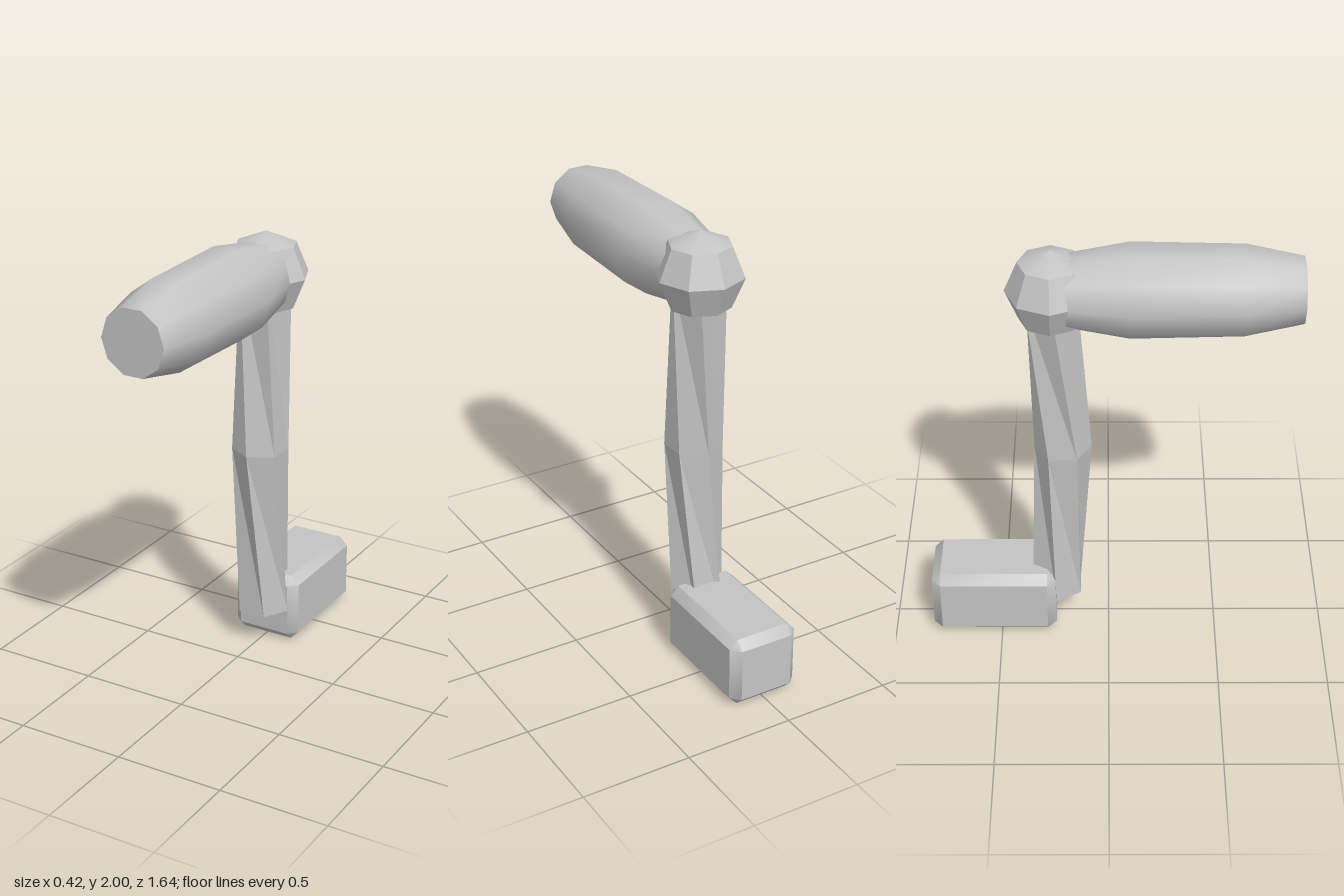
import * as THREE from 'three';
import { toCreasedNormals } from 'three/addons/utils/BufferGeometryUtils.js';
import { ConvexGeometry } from 'three/addons/geometries/ConvexGeometry.js';

const CREASE = 0.7;

// Box with its edges and corners cut off by c
function chamferBox(w, h, d, c) {
  const points = [];
  for (const sx of [-1, 1]) for (const sy of [-1, 1]) for (const sz of [-1, 1]) {
    const x = w / 2, y = h / 2, z = d / 2;
    points.push(
      new THREE.Vector3(sx * x, sy * (y - c), sz * (z - c)),
      new THREE.Vector3(sx * (x - c), sy * y, sz * (z - c)),
      new THREE.Vector3(sx * (x - c), sy * (y - c), sz * z));
  }
  return toCreasedNormals(new ConvexGeometry(points), CREASE);
}

// Faceted column whose rings turn by `turn` from one level to the next
function twistedColumn(levels, sides, start, turn) {
  const step = (Math.PI * 2) / sides;
  const at = (k, i) => {
    const { y, z, r } = levels[k];
    const a = start + k * turn + i * step;
    return [r * Math.sin(a), y, z + r * Math.cos(a)];
  };
  const pos = [];
  const last = levels.length - 1;
  for (let i = 0; i < sides; i++) {
    for (let k = 0; k < last; k++) {
      pos.push(...at(k, i), ...at(k, i + 1), ...at(k + 1, i));
      pos.push(...at(k, i + 1), ...at(k + 1, i + 1), ...at(k + 1, i));
    }
    pos.push(0, levels[0].y, levels[0].z, ...at(0, i + 1), ...at(0, i));
    pos.push(0, levels[last].y, levels[last].z, ...at(last, i), ...at(last, i + 1));
  }
  const geometry = new THREE.BufferGeometry();
  geometry.setAttribute('position', new THREE.Float32BufferAttribute(pos, 3));
  geometry.computeVertexNormals();
  return geometry;
}

export function createModel() {
  const group = new THREE.Group();
  group.name = 'crankHandle';
  const metal = new THREE.MeshStandardMaterial({ color: 0xc4c4c4 });
  metal.name = 'plainGrey';

  const add = (name, geometry, x, y, z) => {
    const mesh = new THREE.Mesh(geometry, metal);
    mesh.name = name;
    mesh.position.set(x, y, z);
    group.add(mesh);
  };

  // Chamfered block at the foot of the crank
  add('mountBlock', chamferBox(0.33, 0.33, 0.575, 0.04), 0, 0.165, -0.5325);

  // Six-sided twisted arm, bowed forward at the middle
  add('arm', twistedColumn([
    { y: 0.165, z: -0.243, r: 0.13 },
    { y: 0.985, z: -0.203, r: 0.128 },
    { y: 1.8, z: -0.243, r: 0.13 },
  ], 6, Math.PI / 6, -Math.PI / 6), 0, 0, 0);

  // Faceted ball joint
  add('joint', toCreasedNormals(new THREE.SphereGeometry(0.195, 8, 4), CREASE), 0, 1.8, -0.245);

  // Ten-sided barrel grip pointing forward
  const profile = [[0, -0.24], [0.15, -0.24], [0.21, 0.09], [0.2, 0.575], [0.148, 0.82], [0, 0.82]]
    .map(([r, z]) => new THREE.Vector2(r, z));
  const grip = new THREE.LatheGeometry(profile, 10, Math.PI / 2).rotateX(Math.PI / 2);
  add('grip', toCreasedNormals(grip, CREASE), 0, 1.8, 0);

  return group;
}
